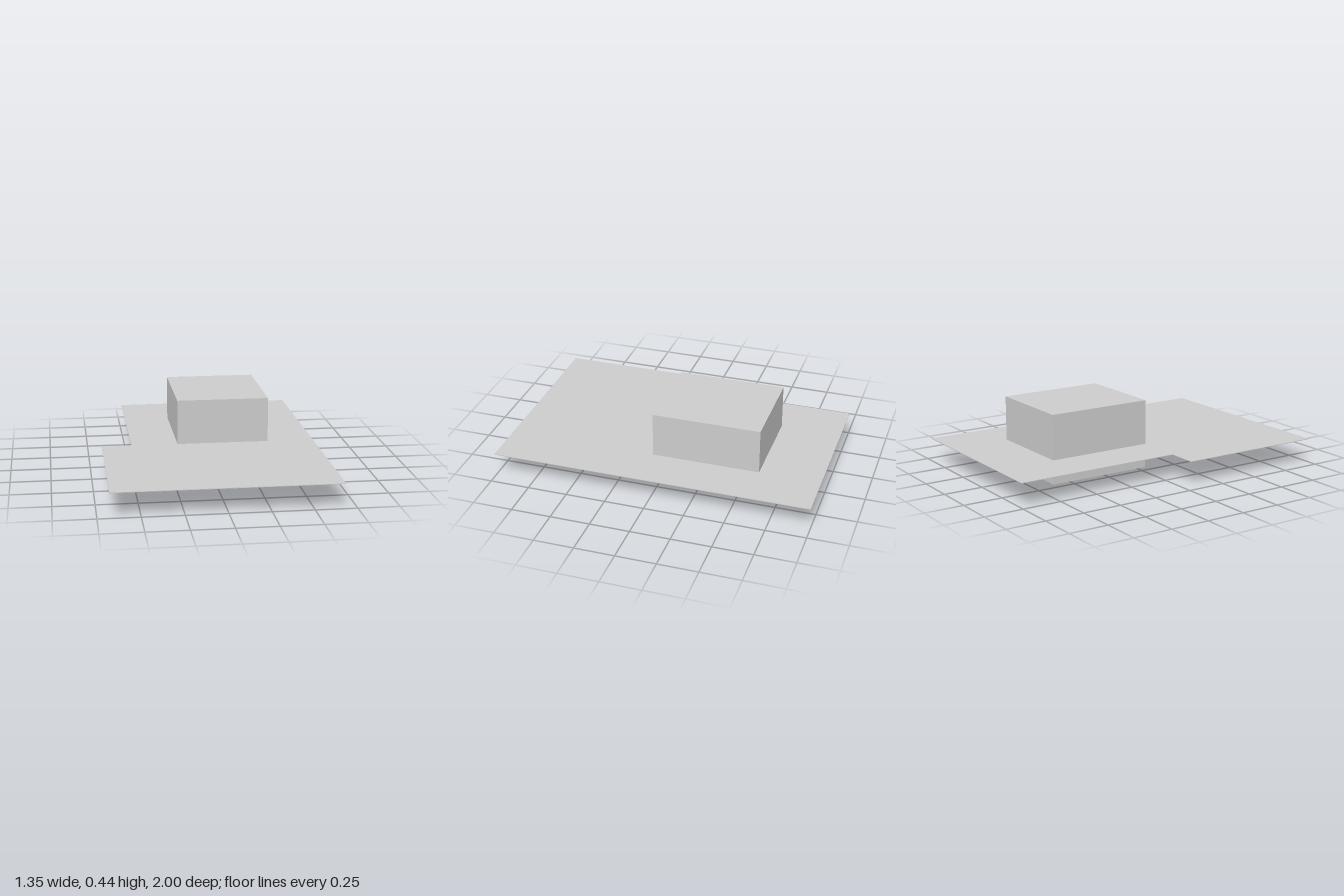
import * as THREE from 'three';

export function createModel() {
  const group = new THREE.Group();
  const material = new THREE.MeshStandardMaterial({ color: 0xcccccc, flatShading: true });

  // Thin plate with a notch in its back right corner, drawn as (x, -z)
  const outline = new THREE.Shape([
    [-0.677, -1], [0.677, -1], [0.677, 1],
    [-0.488, 1], [-0.488, -0.062], [-0.677, -0.062],
  ].map(([x, y]) => new THREE.Vector2(x, y)));
  const thickness = 0.004;
  const plateGeometry = new THREE.ExtrudeGeometry(outline, { depth: thickness, bevelEnabled: false });
  plateGeometry.rotateX(-Math.PI / 2);
  const plate = new THREE.Mesh(plateGeometry, material);
  plate.name = 'basePlate';
  plate.position.y = 0.151 - thickness / 2;
  group.add(plate);

  // Block passing through the plate
  const height = 0.436;
  const block = new THREE.Mesh(new THREE.BoxGeometry(0.58, height, 0.677), material);
  block.name = 'block';
  block.position.set(0.094, height / 2, -0.277);
  group.add(block);

  return group;
}
